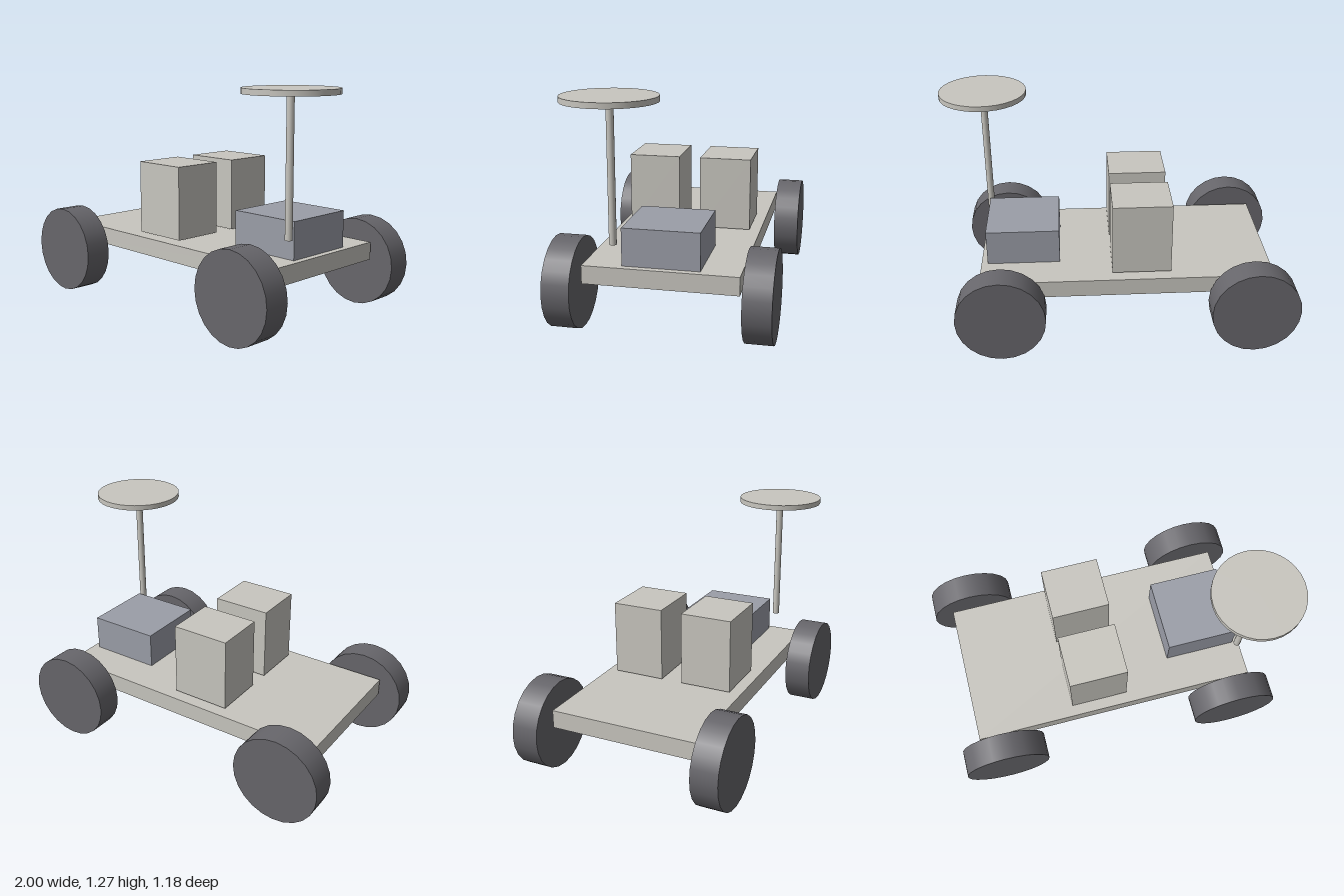
import * as THREE from 'three';

export function createModel() {
  const group = new THREE.Group();
  const mat = (name, color) => {
    const m = new THREE.MeshStandardMaterial({ color });
    m.name = name;
    return m;
  };
  const panel = mat('pale warm grey', 0xc8c6bf);
  const rubber = mat('dark grey', 0x67666b);
  const casing = mat('blue grey', 0x9b9ea8);

  const add = (name, geometry, material, x, y, z) => {
    const mesh = new THREE.Mesh(geometry, material);
    mesh.name = name;
    mesh.position.set(x, y, z);
    group.add(mesh);
    return mesh;
  };

  // Flat chassis and front equipment box
  add('chassis', new THREE.BoxGeometry(1.66, 0.1, 0.83), panel, -0.045, 0.335, 0);
  add('equipmentBox', new THREE.BoxGeometry(0.415, 0.205, 0.414), casing, 0.541, 0.4875, 0);

  // Two block seats, sitting just clear of the chassis
  const seat = new THREE.BoxGeometry(0.332, 0.415, 0.293);
  for (const side of [1, -1]) {
    add(side > 0 ? 'frontSeat' : 'backSeat', seat, panel, -0.129, 0.6025, side * 0.208);
  }

  // Four wheels with their axles along z
  const wheel = new THREE.CylinderGeometry(0.249, 0.249, 0.15, 24).rotateX(Math.PI / 2);
  for (const x of [-0.751, 0.663]) {
    for (const side of [1, -1]) add('wheel', wheel, rubber, x, 0.249, side * 0.516);
  }

  // Dish antenna on a mast
  add('mast', new THREE.CylinderGeometry(0.02, 0.02, 0.74, 16), panel, 0.749, 0.87, 0.25);
  add('dish', new THREE.CylinderGeometry(0.249, 0.249, 0.03, 32), panel, 0.751, 1.254, 0.25);

  return group;
}
